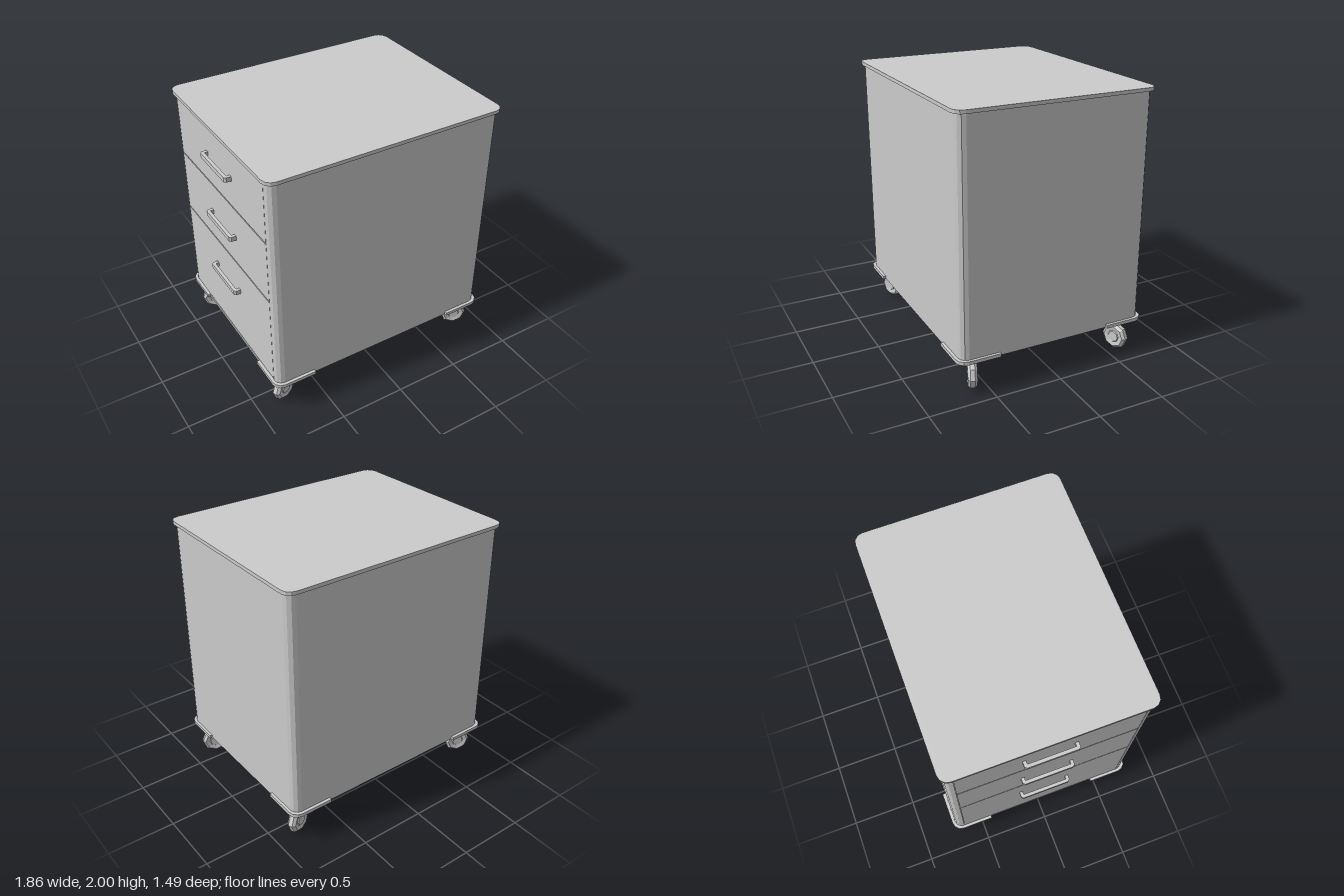
import * as THREE from 'three';

const material = new THREE.MeshStandardMaterial({ color: 0xcccccc, flatShading: true });
const CX = 0.0125; // the cabinet sits slightly off centre, the handles make up the rest

function mesh(name, geometry, x = 0, y = 0, z = 0) {
  const m = new THREE.Mesh(geometry, material);
  m.name = name;
  m.position.set(x, y, z);
  return m;
}

// Points of a three-sided rounded corner around (cx, cy), starting at angle a
function corner(cx, cy, r, a) {
  return [0, 1, 2, 3].map(i => {
    const t = a + (i / 3) * Math.PI / 2;
    return new THREE.Vector2(cx + r * Math.cos(t), cy + r * Math.sin(t));
  });
}

// Lays a plan outline flat and raises it by the given height
function slab(points, height) {
  const g = new THREE.ExtrudeGeometry(new THREE.Shape(points), { depth: height, bevelEnabled: false });
  return g.rotateX(-Math.PI / 2);
}

// Rounded plan outline, with an optional recess in its -x side
function plan(hx, hz, r, recess) {
  const H = Math.PI / 2, ix = hx - r, iz = hz - r;
  const pts = [
    ...corner(ix, iz, r, 0), ...corner(-ix, iz, r, H),
    ...corner(-ix, -iz, r, 2 * H), ...corner(ix, -iz, r, 3 * H),
  ];
  if (recess) {
    const notch = [[-hx, iz - 0.002], [-hx + recess, iz - 0.002], [-hx + recess, -iz + 0.002], [-hx, -iz + 0.002]];
    pts.splice(8, 0, ...notch.map(p => new THREE.Vector2(...p)));
  }
  return pts;
}

// Bow handle with bevelled outer corners, projecting towards -x
function handleGeometry() {
  const h = 0.195, d = 0.05, b = 0.014, t = 0.025;
  const pts = [[0.005, h], [-d + b, h], [-d, h - b], [-d, -h + b], [-d + b, -h], [0.005, -h],
    [0.005, -h + t], [-d + t, -h + t], [-d + t, h - t], [0.005, h - t]];
  return slab(pts.map(p => new THREE.Vector2(...p)), 0.036);
}

// Eight-sided wheel with a bevelled tyre and shallow hub caps, axis along z
function wheelGeometry() {
  const profile = [[0, -0.034], [0.04, -0.034], [0.046, -0.027], [0.08, -0.034], [0.1, -0.016],
    [0.1, 0.016], [0.08, 0.034], [0.046, 0.027], [0.04, 0.034], [0, 0.034]];
  const g = new THREE.LatheGeometry(profile.map(p => new THREE.Vector2(...p)), 8);
  return g.rotateX(Math.PI / 2);
}

export function createModel() {
  const model = new THREE.Group();
  model.name = 'drawerCabinet';

  // Carcass and top board
  model.add(mesh('carcass', slab(plan(0.8925, 0.72, 0.06, 0.015), 1.72), CX, 0.256, 0));
  model.add(mesh('topBoard', slab(plan(0.9125, 0.7425, 0.07), 0.026), CX, 1.974, 0));

  // Drawer fronts and handles on the -x side
  const seams = [1.976, 1.5, 1.015, 0.285];
  const gap = 0.005;
  for (let i = 0; i < 3; i++) {
    const top = seams[i] - gap, bottom = seams[i + 1] + gap;
    const drawer = new THREE.Group();
    drawer.name = 'drawer' + (i + 1);
    drawer.add(mesh('drawerFront', new THREE.BoxGeometry(0.016, top - bottom, 1.31), -0.872, (top + bottom) / 2, 0));
    drawer.add(mesh('handle', handleGeometry(), -0.88, 1.717 - i * 0.483, 0));
    model.add(drawer);
  }
  model.add(mesh('baseRail', new THREE.BoxGeometry(0.016, 0.025, 1.31), -0.872, 0.2685, 0));

  // Corner pads and swivel casters
  const wheel = wheelGeometry();
  for (const sx of [-1, 1]) {
    for (const sz of [-1, 1]) {
      const foot = new THREE.Group();
      foot.name = (sz > 0 ? 'front' : 'back') + (sx > 0 ? 'Left' : 'Right') + 'Foot';

      const outline = [new THREE.Vector2(0.595, 0.43), new THREE.Vector2(0.9125, 0.43),
        ...corner(0.8425, 0.6725, 0.07, 0), new THREE.Vector2(0.595, 0.7425)]
        .map(p => new THREE.Vector2(p.x * sx, -p.y * sz));
      foot.add(mesh('cornerPad', slab(outline, 0.026), CX, 0.255, 0));

      const x = CX + sx * 0.788, z = sz * 0.594;
      foot.add(mesh('casterStem', new THREE.CylinderGeometry(0.025, 0.025, 0.12, 8), x, 0.2, z));
      const caster = mesh('casterWheel', wheel, x, 0.1, z);
      caster.rotation.y = -sx * sz * 0.38;
      foot.add(caster);
      model.add(foot);
    }
  }
  return model;
}
